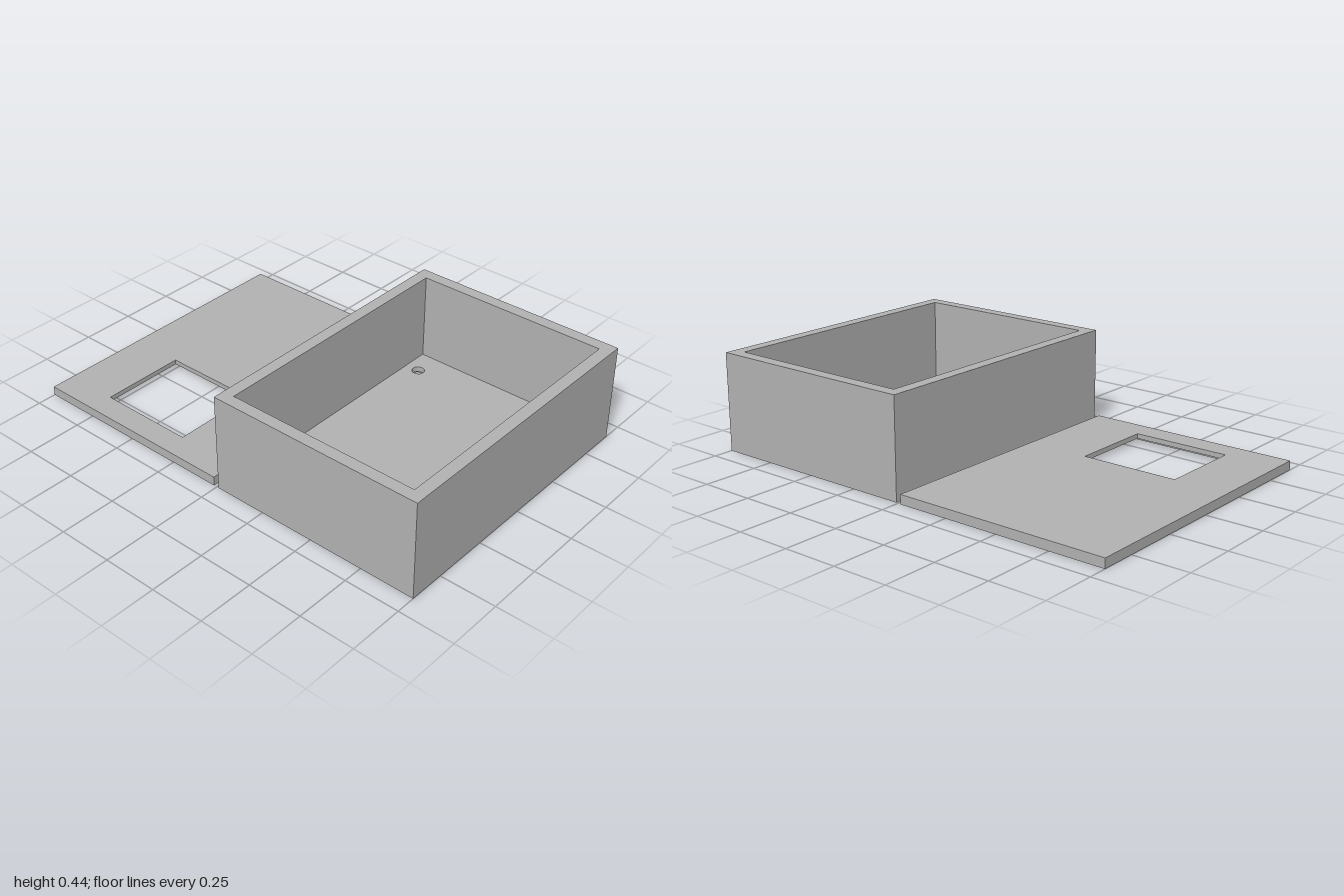
import * as THREE from 'three';

const grey = new THREE.MeshStandardMaterial({ color: 0xb2b2b2 });
grey.name = 'light grey';

// Rectangle in plan: x range, z range
function rect(C, x0, x1, z0, z1) {
  const s = new C();
  s.moveTo(x0, z0);
  s.lineTo(x1, z0);
  s.lineTo(x1, z1);
  s.lineTo(x0, z1);
  s.closePath();
  return s;
}

// Horizontal slab between two heights, cut through by holes
function slab(name, [x0, x1, z0, z1], y0, y1, holes) {
  const shape = rect(THREE.Shape, x0, x1, z0, z1);
  shape.holes.push(...holes);
  const geo = new THREE.ExtrudeGeometry(shape, { depth: y1 - y0, bevelEnabled: false, curveSegments: 32 });
  geo.rotateX(Math.PI / 2);
  geo.translate(0, y1, 0);
  const mesh = new THREE.Mesh(geo, grey);
  mesh.name = name;
  return mesh;
}

// One round hole at each corner of the box floor
function screwHoles(radius) {
  const holes = [];
  for (const x of [-0.46, 0.485]) {
    for (const z of [0.13, 0.88]) {
      const p = new THREE.Path();
      p.absarc(x, z, radius, 0, Math.PI * 2, true);
      holes.push(p);
    }
  }
  return holes;
}

export function createModel() {
  const model = new THREE.Group();
  model.name = 'enclosure';

  // Open box: recessed underside, floor with screw holes, four walls
  const box = new THREE.Group();
  box.name = 'box';
  const boxPlan = [-0.663, 0.659, 0.01, 1];
  const pocket = rect(THREE.Path, -0.23, 0.28, 0.13, 0.89);
  const cavity = rect(THREE.Path, -0.609, 0.604, 0.064, 0.945);
  box.add(
    slab('recessedUnderside', boxPlan, 0, 0.02, [pocket, ...screwHoles(0.053)]),
    slab('floor', boxPlan, 0.02, 0.045, screwHoles(0.028)),
    slab('walls', boxPlan, 0.045, 0.443, [cavity])
  );

  // Lid lying behind the box: plate with a window, shallow rim underneath
  const lid = new THREE.Group();
  lid.name = 'lid';
  const lidPlan = [-0.663, 0.663, -1, -0.015];
  const opening = rect(THREE.Path, -0.555, -0.163, -0.752, -0.304);
  const rimInside = rect(THREE.Path, -0.593, 0.593, -0.93, -0.085);
  lid.add(
    slab('lidRim', lidPlan, 0, 0.02, [rimInside]),
    slab('lidPlate', lidPlan, 0.02, 0.042, [opening])
  );

  model.add(box, lid);
  return model;
}
